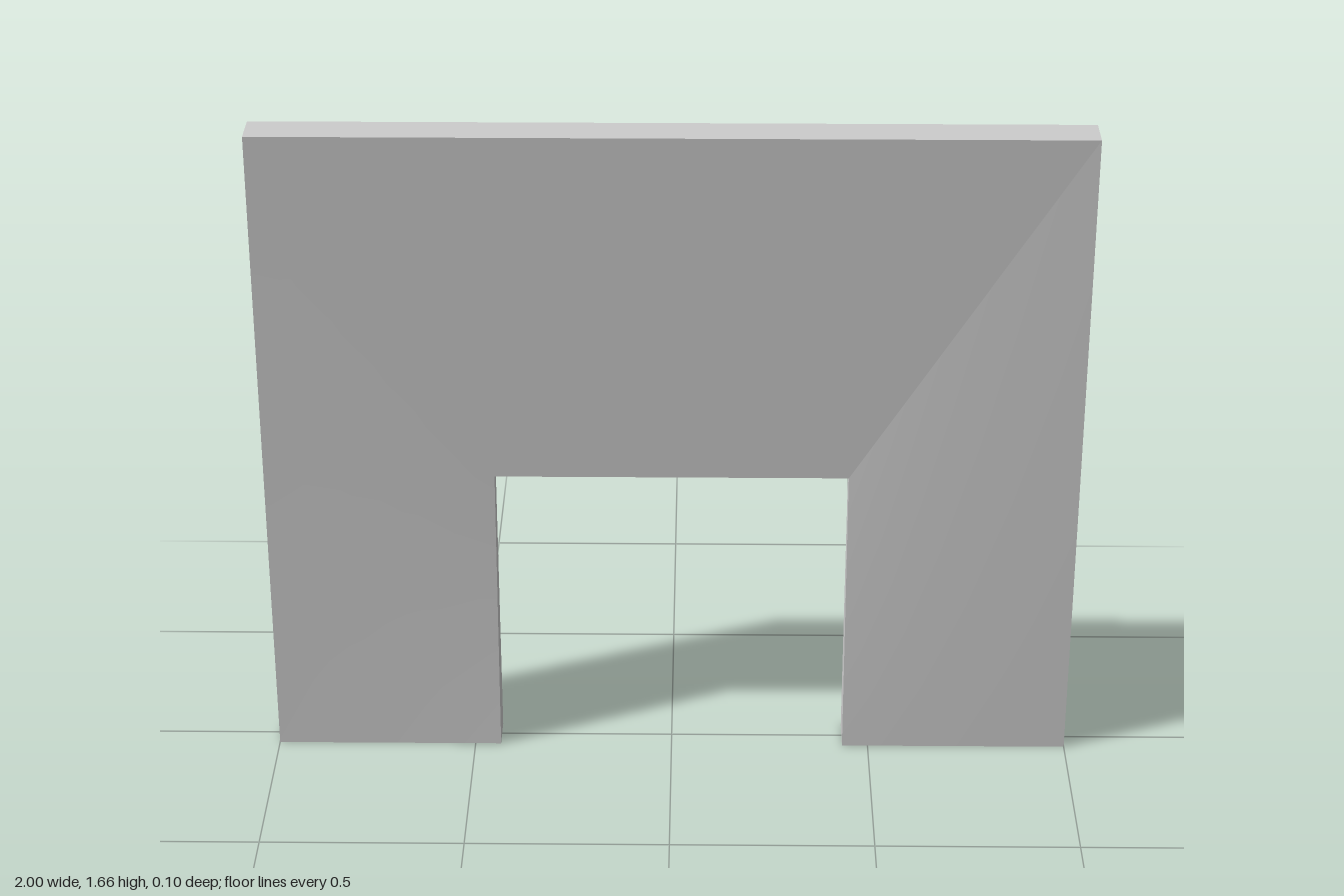
import * as THREE from 'three';

const W = 1, H = 1.665;          // outer half width and height
const IN = 0.435, IH = 0.76;     // opening half width and height
const T = 0.048, TI = 0.025;     // half thickness at the rim and at the opening's head

const material = new THREE.MeshStandardMaterial({ color: 0xcccccc });

// Ruled quad through four corners, counter-clockwise seen from outside
function patch(name, corners, segments = 1) {
  const [a, b, c, d] = corners.map((p) => new THREE.Vector3(...p));
  const geometry = new THREE.PlaneGeometry(1, 1, segments, segments);
  const pos = geometry.attributes.position;
  for (let i = 0; i < pos.count; i++) {
    const u = pos.getX(i) + 0.5, v = pos.getY(i) + 0.5;
    const low = a.clone().lerp(b, u), high = d.clone().lerp(c, u);
    const p = low.lerp(high, v);
    pos.setXYZ(i, p.x, p.y, p.z);
  }
  geometry.computeVertexNormals();
  const mesh = new THREE.Mesh(geometry, material);
  mesh.name = name;
  return mesh;
}

export function createModel() {
  const model = new THREE.Group();
  model.name = 'wallWithDoorway';

  // Front and back faces: the back is the front turned half around
  for (const side of ['front', 'back']) {
    const face = new THREE.Group();
    face.name = side + 'Face';
    face.add(
      patch('legPanel', [[-W, 0, T], [-IN, 0, T], [-IN, IH, TI], [-W, H, T]], 6),
      patch('headPanel', [[-IN, IH, TI], [IN, IH, TI], [W, H, T], [-W, H, T]]),
      patch('legPanel', [[IN, 0, T], [W, 0, T], [W, H, T], [IN, IH, TI]], 6)
    );
    if (side === 'back') face.rotation.y = Math.PI;
    model.add(face);
  }

  // Outer ends, door jambs and feet, the right ones turned half around
  for (const side of ['left', 'right']) {
    const edges = new THREE.Group();
    edges.name = side + 'Edges';
    edges.add(
      patch('outerEnd', [[W, 0, T], [W, 0, -T], [W, H, -T], [W, H, T]]),
      patch('doorJamb', [[IN, 0, -T], [IN, 0, T], [IN, IH, TI], [IN, IH, -TI]]),
      patch('foot', [[IN, 0, -T], [W, 0, -T], [W, 0, T], [IN, 0, T]])
    );
    if (side === 'right') edges.rotation.y = Math.PI;
    model.add(edges);
  }

  // Top of the wall and underside of the doorway's head
  model.add(
    patch('topEdge', [[-W, H, T], [W, H, T], [W, H, -T], [-W, H, -T]]),
    patch('doorwayHead', [[-IN, IH, -TI], [IN, IH, -TI], [IN, IH, TI], [-IN, IH, TI]])
  );
  return model;
}
